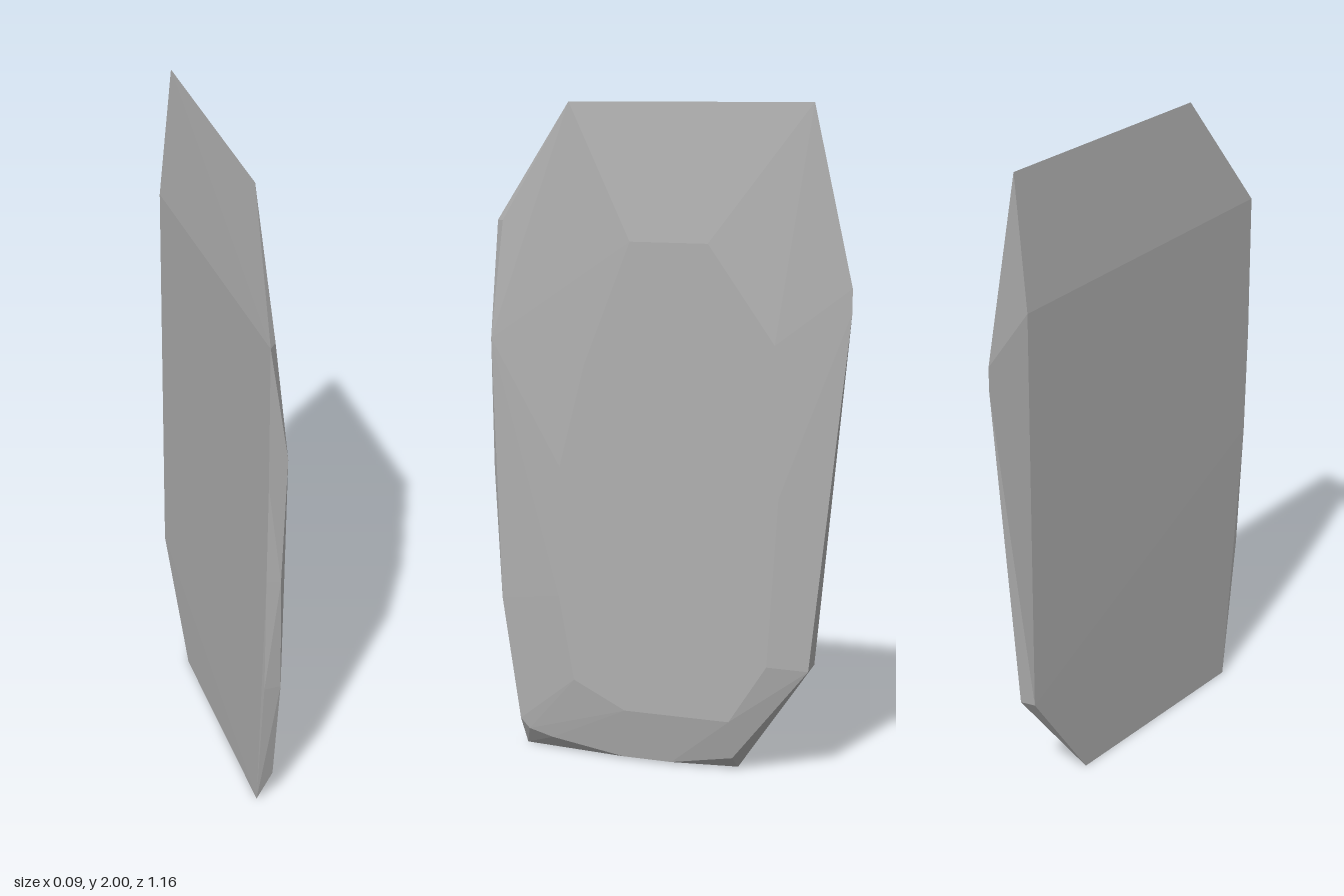
import * as THREE from 'three';
import { ConvexGeometry } from 'three/addons/geometries/ConvexGeometry.js';

// Cross-sections through the thickness of the slab: [x, [[z, y], ...]]
const sections = [
  // flat left-hand... broad side facing -x
  [-0.045, [[0.58, 1.64], [-0.46, 1.6], [-0.46, 0.34], [0.57, 0.87], [0.58, 1.2]]],
  [-0.04, [[0.49, 0], [-0.22, 0], [0.55, 0.47]]],
  // chipped front corner
  [-0.022, [[0.552, 1.64]]],
  // sharp top ridge and rear edge
  [-0.005, [[0.32, 2], [-0.46, 2], [-0.58, 1.47], [-0.58, 1.4], [0.58, 0.87]]],
  // lower rim and front edge
  [0.01, [[0.58, 1.28], [0.55, 0.47], [0.49, 0.09], [0.46, 0.06], [0.38, 0.04],
    [0.14, 0.005], [-0.02, 0.005], [-0.22, 0.04], [-0.46, 0.33]]],
  // raised plateau facing +x
  [0.043, [[0.1, 1.59], [-0.15, 1.59], [-0.36, 1.3], [-0.375, 0.85], [-0.34, 0.34],
    [-0.22, 0.16], [0.12, 0.16], [0.29, 0.24], [0.34, 0.5], [0.335, 0.9], [0.25, 1.22]]],
];

export function createModel() {
  const group = new THREE.Group();
  group.name = 'stoneSlab';

  const stone = new THREE.MeshStandardMaterial({ color: 0xb0b0b0 });
  stone.name = 'stone grey';

  // Faceted hull wrapped around all sections
  const points = sections.flatMap(([x, outline]) =>
    outline.map(([z, y]) => new THREE.Vector3(x, y, z)));
  const slab = new THREE.Mesh(new ConvexGeometry(points), stone);
  slab.name = 'slab';
  group.add(slab);
  return group;
}
